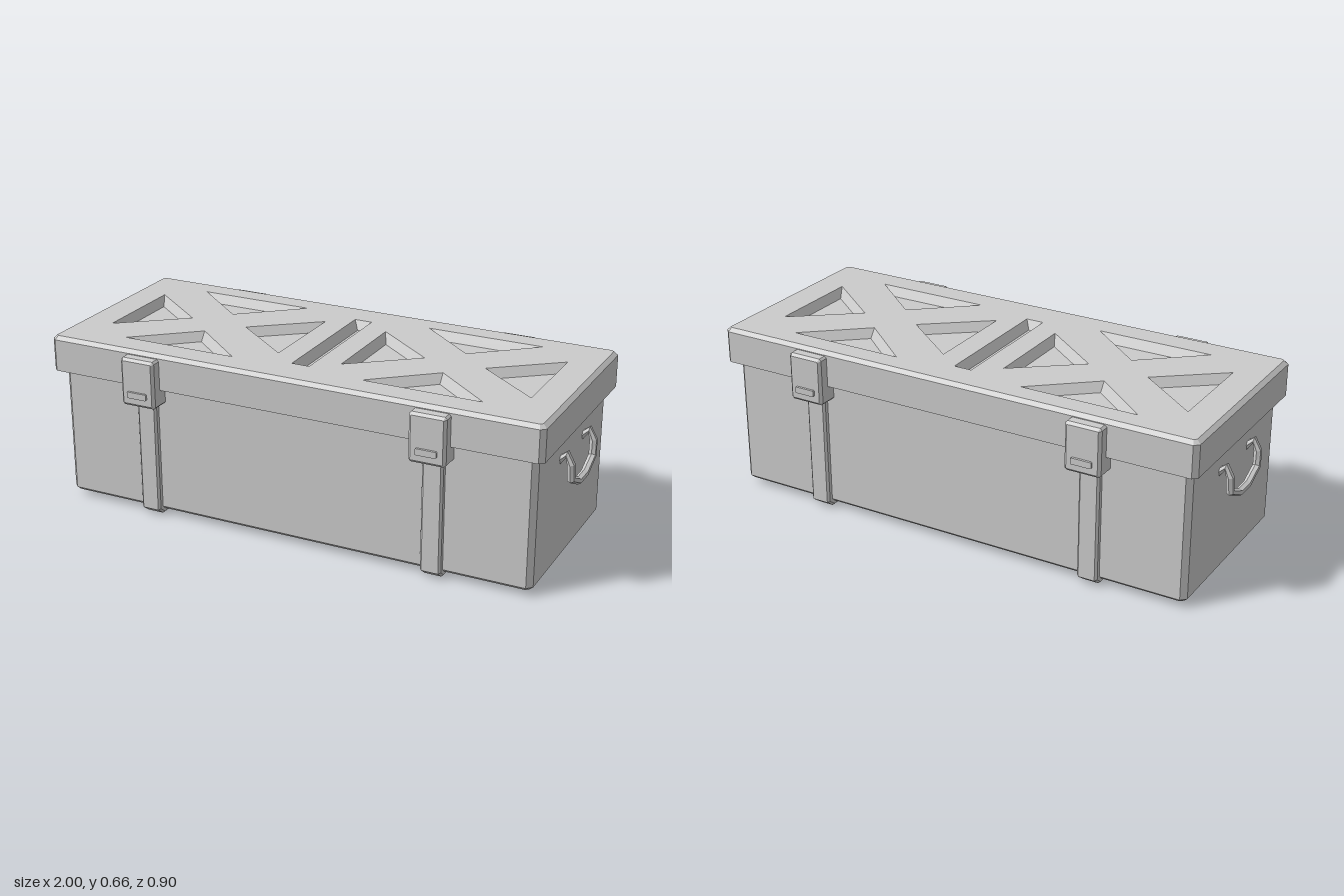
import * as THREE from 'three';

const material = new THREE.MeshStandardMaterial({ color: 0xcccccc, flatShading: true });
const V2 = (x, y) => new THREE.Vector2(x, y);

// Counter-clockwise rectangle outline with cut corners
function chamferedRect(hw, hh, c, cy = 0) {
  return [[hw, -hh + c], [hw, hh - c], [hw - c, hh], [-hw + c, hh],
    [-hw, hh - c], [-hw, -hh + c], [-hw + c, -hh], [hw - c, -hh]].map(([x, y]) => V2(x, y + cy));
}

// Move every edge of a convex outline inwards by d
function inset(pts, d) {
  const n = pts.length;
  const normal = (a, b) => V2(a.y - b.y, b.x - a.x).normalize();
  return pts.map((p, i) => {
    const n1 = normal(pts[(i + n - 1) % n], p), n2 = normal(p, pts[(i + 1) % n]);
    return p.clone().addScaledVector(n1.clone().add(n2), d / (1 + n1.dot(n2)));
  });
}

// Skin outlines stacked in y; outline (u, v) lies at x = u, z = -v
function loft(layers, capStart = true, capEnd = true) {
  const pos = [];
  const rings = layers.map(([pts, y]) => pts.map((p) => [p.x, y, -p.y]));
  const n = rings[0].length;
  const tri = (a, b, c) => pos.push(...a, ...b, ...c);
  for (let k = 0; k < rings.length - 1; k++) {
    const a = rings[k], b = rings[k + 1];
    for (let i = 0; i < n; i++) {
      const j = (i + 1) % n;
      tri(a[i], a[j], b[j]);
      tri(a[i], b[j], b[i]);
    }
  }
  const first = rings[0], last = rings[rings.length - 1];
  for (let i = 1; i < n - 1; i++) {
    if (capStart) tri(first[0], first[i + 1], first[i]);
    if (capEnd) tri(last[0], last[i], last[i + 1]);
  }
  const g = new THREE.BufferGeometry();
  g.setAttribute('position', new THREE.Float32BufferAttribute(pos, 3));
  g.computeVertexNormals();
  return g;
}

// Angular path: one tube ring per point
class Polyline extends THREE.Curve {
  constructor(pts) { super(); this.pts = pts; }
  getPoint(t) { return this.pts[Math.round(t * (this.pts.length - 1))].clone(); }
  getPointAt(t) { return this.getPoint(t); }
  getTangentAt(t) {
    const p = this.pts, i = Math.round(t * (p.length - 1)), out = new THREE.Vector3();
    if (i > 0) out.add(p[i].clone().sub(p[i - 1]).normalize());
    if (i < p.length - 1) out.add(p[i + 1].clone().sub(p[i]).normalize());
    return out.normalize();
  }
}

export function createModel() {
  const model = new THREE.Group();
  model.name = 'storageCase';
  const add = (name, geometry, parent = model) => {
    const mesh = new THREE.Mesh(geometry, material);
    mesh.name = name;
    parent.add(mesh);
    return mesh;
  };

  // Box body with chamfered corners and bottom edge
  const bodyOutline = chamferedRect(0.945, 0.365, 0.02);
  add('body', loft([[inset(bodyOutline, 0.015), 0.02], [bodyOutline, 0.034], [bodyOutline, 0.56]]));

  // Lid: rim, top plate with openings, sloped recesses
  const lid = new THREE.Group();
  lid.name = 'lid';
  model.add(lid);
  const topY = 0.662;
  const lidOutline = chamferedRect(0.977, 0.4, 0.018);
  const topOutline = inset(lidOutline, 0.015);
  add('lidRim', loft([[lidOutline, 0.525], [lidOutline, 0.648], [topOutline, topY]], true, false), lid);

  const recesses = [[V2(0.035, -0.262), V2(0.035, 0.262), V2(-0.035, 0.262), V2(-0.035, -0.262)]];
  for (const cx of [-0.487, 0.487]) {
    for (const s of [-1, 1]) {
      recesses.push(
        [V2(cx + s * 0.36, -s * 0.19), V2(cx + s * 0.36, s * 0.19), V2(cx + s * 0.118, 0)],
        [V2(cx + s * 0.227, s * 0.298), V2(cx - s * 0.227, s * 0.298), V2(cx, s * 0.107)],
      );
    }
  }
  const plate = new THREE.Shape(topOutline);
  for (const r of recesses) {
    for (const p of r) p.y += 0.008;
    plate.holes.push(new THREE.Path(r));
    add('lidRecess', loft([[r, topY], [inset(r, 0.02), topY - 0.035]], false, true), lid);
  }
  add('lidTop', new THREE.ShapeGeometry(plate).rotateX(-Math.PI / 2).translate(0, topY, 0), lid);

  // Straps wrapped under the body, with a buckle on each side
  const strapShape = new THREE.Shape([[0.355, 0], [0.388, 0.025], [0.388, 0.5],
    [-0.388, 0.5], [-0.388, 0.025], [-0.355, 0]].map(([x, y]) => V2(x, y)));
  const strapGeometry = new THREE.ExtrudeGeometry(strapShape, {
    depth: 0.064, bevelSize: 0.008, bevelOffset: -0.008, bevelThickness: 0.008, bevelSegments: 1,
  }).translate(0, 0, -0.032).rotateY(-Math.PI / 2);
  const buckleOutline = chamferedRect(0.07, 0.0925, 0.008, 0.5525);
  const buckleGeometry = loft([[buckleOutline, 0.36], [buckleOutline, 0.433],
    [inset(buckleOutline, 0.01), 0.443]]).rotateX(Math.PI / 2);
  const tabOutline = chamferedRect(0.04, 0.012, 0.003, 0.507);
  const tabGeometry = loft([[tabOutline, 0.43], [tabOutline, 0.452]]).rotateX(Math.PI / 2);
  for (const x of [-0.575, 0.575]) {
    add('strap', strapGeometry).position.x = x;
    for (const turn of [0, Math.PI]) {
      const buckle = new THREE.Group();
      buckle.name = 'buckle';
      buckle.position.x = x;
      buckle.rotation.y = turn;
      add('bucklePlate', buckleGeometry, buckle);
      add('buckleTab', tabGeometry, buckle);
      model.add(buckle);
    }
  }

  // Bail handles on both ends
  const half = [[0.935, 0.42, 0.12], [0.968, 0.452, 0.121], [0.984, 0.415, 0.122],
    [0.985, 0.357, 0.117], [0.985, 0.32, 0.037]];
  const path = [...half, ...half.map(([x, y, z]) => [x, y, -z]).reverse()]
    .map((p) => new THREE.Vector3(...p));
  const handleGeometry = new THREE.TubeGeometry(new Polyline(path), path.length - 1, 0.015, 6);
  for (const turn of [0, Math.PI]) add('handle', handleGeometry).rotation.y = turn;

  return model;
}
